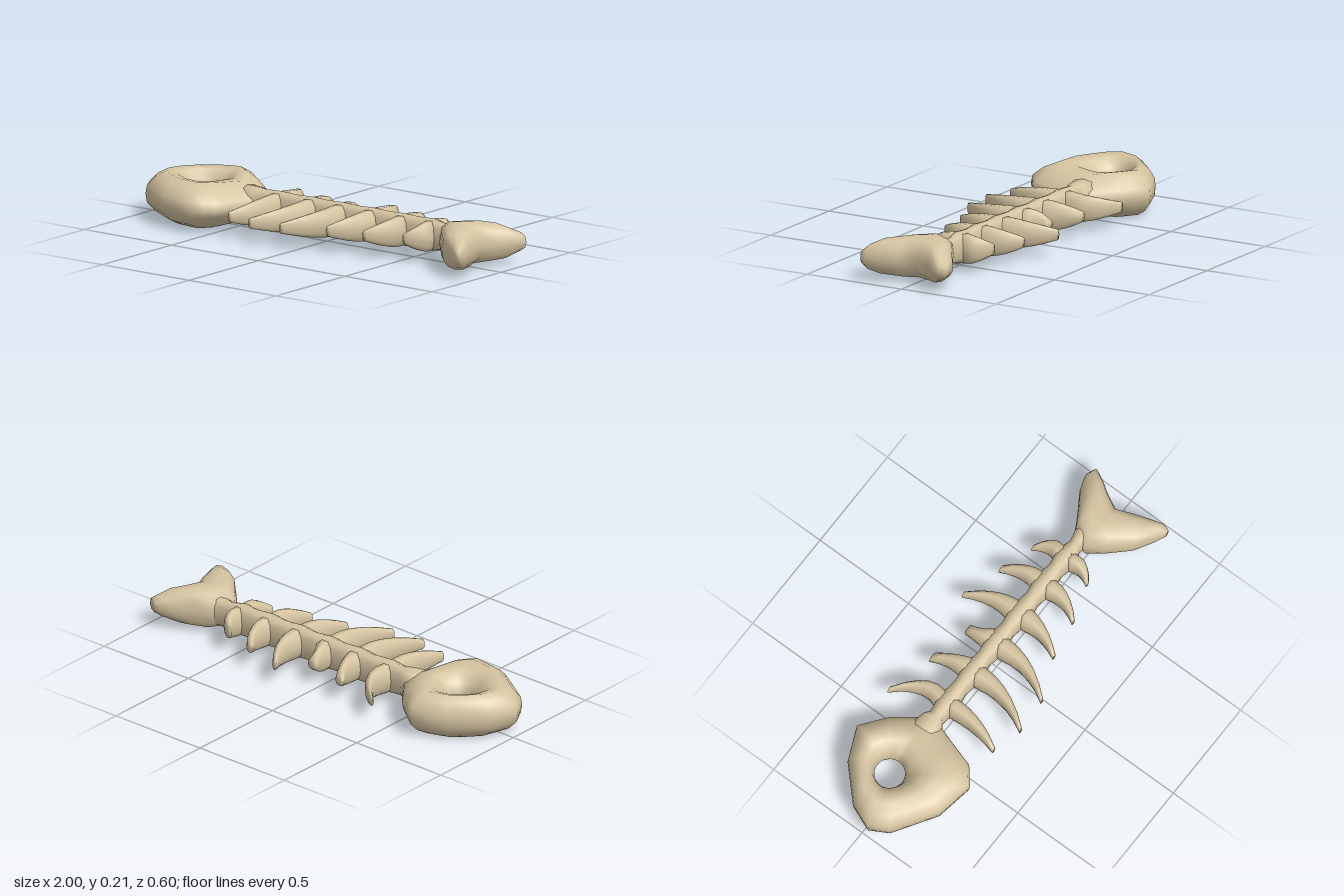
import * as THREE from 'three';

const MID = 0.105; // height of the flat centre plane

// Skin a list of equal-length point rings; 'loop' joins the last ring to the first.
function loft(rings, loop = false) {
  const n = rings[0].length, m = rings.length, pos = rings.flat(2);
  const index = [];
  for (let i = 0; i < (loop ? m : m - 1); i++) {
    for (let j = 0; j < n; j++) {
      const a = i * n + j, b = i * n + (j + 1) % n;
      const k = (i + 1) % m, c = k * n + j, d = k * n + (j + 1) % n;
      index.push(a, b, d, a, d, c);
    }
  }
  // Turn the faces outward whichever way the rings were listed.
  const v = (i) => new THREE.Vector3().fromArray(pos, index[i] * 3);
  let volume = 0;
  for (let i = 0; i < index.length; i += 3) volume += v(i).dot(v(i + 1).cross(v(i + 2)));
  if (volume < 0) index.reverse();
  const geo = new THREE.BufferGeometry();
  geo.setAttribute('position', new THREE.Float32BufferAttribute(pos, 3));
  geo.setIndex(index);
  geo.computeVertexNormals();
  return geo;
}

// Rounded section: calls place(u, y) with u in -1..1 around a superellipse.
function section(halfHeight, place, power = 0.8, sides = 12) {
  const soft = (s) => Math.sign(s) * Math.abs(s) ** power;
  return Array.from({ length: sides }, (_, i) => {
    const a = (i / sides) * Math.PI * 2;
    return place(soft(Math.cos(a)), MID + halfHeight * soft(Math.sin(a)));
  });
}

// Head: a thick rounded ring between the outline and the eye hole.
function headGeometry() {
  const outline = [
    [-1, 0.03], [-0.95, -0.09], [-0.8, -0.235], [-0.645, -0.303], [-0.52, -0.21], [-0.42, -0.085],
    [-0.4, -0.04], [-0.42, 0.02], [-0.44, 0.08], [-0.48, 0.21], [-0.565, 0.28], [-0.745, 0.25], [-0.95, 0.12],
  ];
  const half = [[0, 0], [0.03, 0.04], [0.2, 0.077], [0.45, 0.105], [0.7, 0.093], [0.9, 0.055], [1, 0]];
  const profile = [...half, ...half.slice(1, -1).reverse().map(([t, h]) => [t, -h])];
  const eye = [-0.73, -0.05], radius = 0.07;
  const rings = [];
  outline.forEach(([x0, z0], i) => {
    const [x1, z1] = outline[(i + 1) % outline.length];
    for (const s of [0, 0.5]) {
      const x = x0 + (x1 - x0) * s, z = z0 + (z1 - z0) * s;
      const a = Math.atan2(z - eye[1], x - eye[0]);
      const hx = eye[0] + radius * Math.cos(a), hz = eye[1] + radius * Math.sin(a);
      rings.push(profile.map(([t, h]) => {
        const px = x + (hx - x) * t;
        const thin = 1 - 0.3 * THREE.MathUtils.smoothstep(px, -0.6, -0.42);
        return [px, MID + h * thin, z + (hz - z) * t];
      }));
    }
  });
  return loft(rings, true);
}

// Spine: a tube that swells a little at every pair of ribs.
function spineGeometry(ribs) {
  const stations = [[-0.52, 0.08, 0.08], [-0.42, 0.058, 0.075]];
  for (const { left, width } of ribs) {
    stations.push([left - 0.04, 0.036, 0.072], [left + width * 0.5, 0.05, 0.075]);
  }
  stations.push([0.64, 0.03, 0.062], [0.7, 0.045, 0.068], [0.76, 0.05, 0.07]);
  const rings = stations.map(([x, w, h]) => section(h, (u, y) => [x, y, -0.045 + u * w]));
  const cap = (x) => section(0, () => [x, MID, -0.045]);
  return loft([cap(-0.52), ...rings, cap(0.76)]);
}

// Rib: a curved blade sweeping back towards the head as it tapers.
function ribGeometry(left, width, [tipX, tipZ, tipWidth]) {
  const rootZ = tipZ < 0 ? -0.085 : 0;
  const through = (a, b, c, t) => // quadratic passing a, b, c at t = 0, 0.5, 1
    a * (1 - t) * (1 - 2 * t) + b * 4 * t * (1 - t) + c * t * (2 * t - 1);
  const ring = (t, z, scale = 1) => {
    const w = through(width, 0.06, tipWidth, t) / 2;
    const x = through(left, left + 0.005, tipX, t) + w;
    const h = through(0.07, 0.058, 0.025, t) * scale;
    return section(h, (u, y) => [x + u * w * scale, y, z], 0.9, 10);
  };
  const rings = [ring(0, -0.045, 0), ring(0, -0.045)];
  for (let i = 0; i <= 5; i++) rings.push(ring(i / 5, rootZ + (tipZ - rootZ) * i / 5));
  rings.push(ring(1, tipZ, 0));
  return loft(rings);
}

// Tail fin: sections across z, each [z, leading x, trailing x, half height].
function tailGeometry() {
  const rows = [
    [-0.21, 0.925, 0.955, 0.022], [-0.19, 0.865, 0.995, 0.045], [-0.13, 0.77, 0.965, 0.082],
    [-0.085, 0.69, 0.935, 0.092], [0, 0.645, 0.89, 0.097], [0.07, 0.7, 0.918, 0.095],
    [0.165, 0.79, 0.95, 0.082], [0.215, 0.87, 0.966, 0.058], [0.245, 0.925, 0.955, 0.028],
  ];
  const ring = ([z, a, b, h], s = 1) =>
    section(h * s, (u, y) => [(a + b) / 2 + u * s * (b - a) / 2, y, z], 0.8);
  return loft([ring(rows[0], 0), ...rows.map((r) => ring(r)), ring(rows.at(-1), 0)]);
}

export function createModel() {
  const group = new THREE.Group();
  group.name = 'fishSkeleton';
  const bone = new THREE.MeshStandardMaterial({ color: 0xd6c5a2 });
  const add = (name, geometry) => {
    const mesh = new THREE.Mesh(geometry, bone);
    mesh.name = name;
    group.add(mesh);
  };

  // Each rib pair: root position and width, then [tip x, tip z, tip width] on both sides.
  const ribs = [
    { left: -0.35, width: 0.085, back: [-0.425, -0.295, 0.03], front: [-0.37, 0.255, 0.025] },
    { left: -0.168, width: 0.1, back: [-0.195, -0.235, 0.05], front: [-0.22, 0.295, 0.022] },
    { left: 0.005, width: 0.1, back: [0.008, -0.188, 0.05], front: [-0.05, 0.285, 0.022] },
    { left: 0.18, width: 0.1, back: [0.14, -0.305, 0.028], front: [0.15, 0.2, 0.025] },
    { left: 0.365, width: 0.09, back: [0.335, -0.245, 0.038], front: [0.335, 0.168, 0.025] },
    { left: 0.535, width: 0.075, back: [0.508, -0.192, 0.03], front: [0.518, 0.108, 0.025] },
  ];

  add('head', headGeometry());
  add('spine', spineGeometry(ribs));
  ribs.forEach(({ left, width, back, front }, i) => {
    add(`backRib${i + 1}`, ribGeometry(left, width, back));
    add(`frontRib${i + 1}`, ribGeometry(left, width, front));
  });
  add('tailFin', tailGeometry());
  return group;
}
